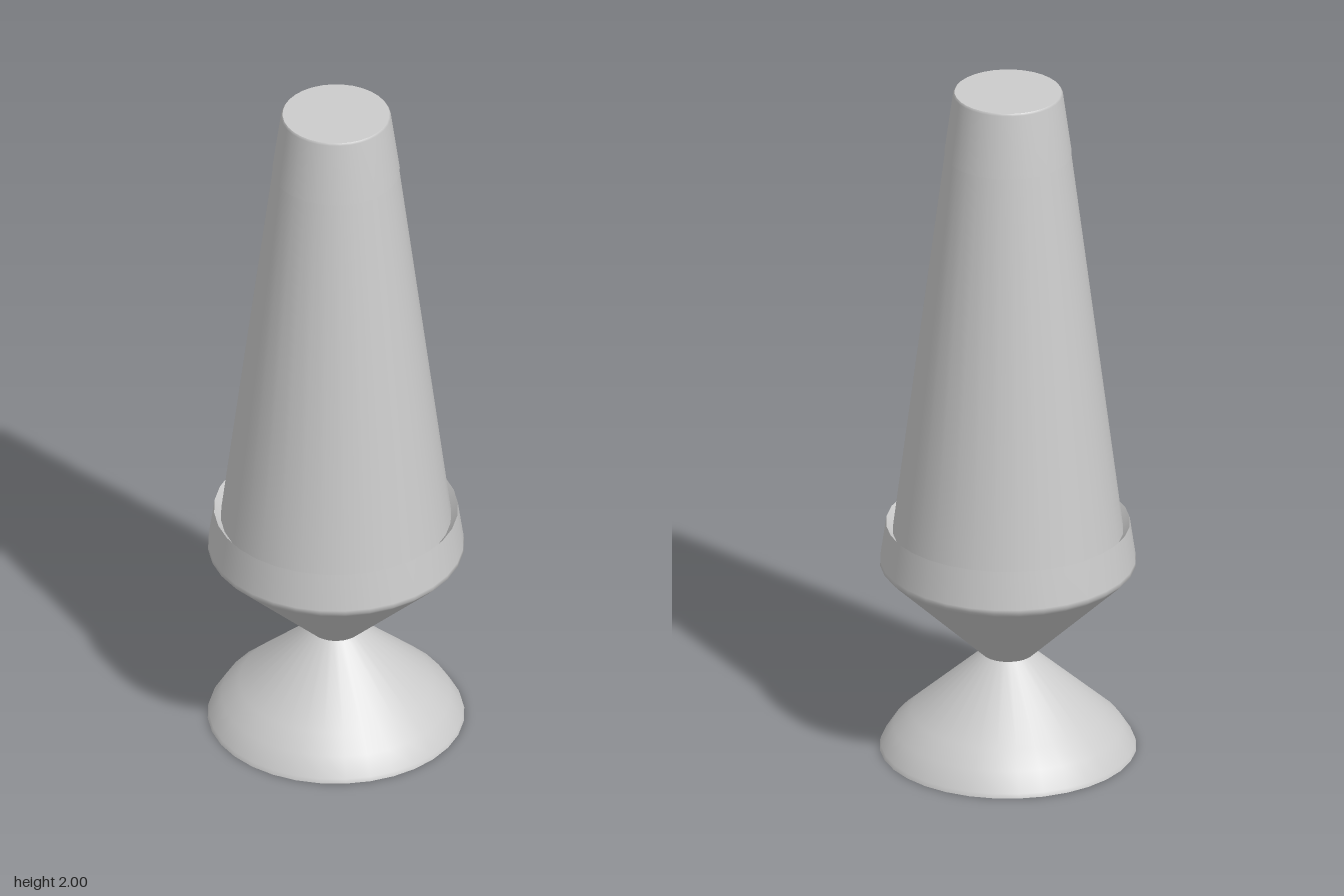
import * as THREE from 'three';

const SIDES = 32;

export function createModel() {
  const lamp = new THREE.Group();
  lamp.name = 'lavaLamp';
  const material = new THREE.MeshStandardMaterial({ color: 0xcccccc, side: THREE.DoubleSide });

  // Each strip is a smooth lathed profile; separate strips keep hard edges between them.
  function turned(name, strips) {
    const part = new THREE.Group();
    part.name = name;
    strips.forEach((points, i) => {
      const profile = points.map(([r, y]) => new THREE.Vector2(r, y));
      const mesh = new THREE.Mesh(new THREE.LatheGeometry(profile, SIDES), material);
      mesh.name = `${name}Surface${i + 1}`;
      part.add(mesh);
    });
    lamp.add(part);
  }

  // Flared foot, narrowing to the waist
  turned('foot', [
    [[0, 0], [0.358, 0]],
    [[0.358, 0], [0.354, 0.012], [0.32, 0.065], [0.27, 0.11], [0.073, 0.288]],
  ]);

  // Cup opening from the waist, with a tapered collar and a hollow rim
  turned('cup', [
    [[0.073, 0.288], [0.345, 0.55], [0.357, 0.563], [0.356, 0.575], [0.34, 0.685]],
    [[0.34, 0.685], [0.317, 0.655]],
    [[0.317, 0.655], [0, 0.655]],
  ]);

  // Tapered glass vessel
  turned('glass', [[[0.322, 0.655], [0.175, 1.82]]]);

  // Cap with a slight overhang and a softened top edge
  turned('cap', [
    [[0, 1.812], [0.178, 1.812]],
    [[0.178, 1.812], [0.153, 1.994], [0.149, 2]],
    [[0.149, 2], [0, 2]],
  ]);

  return lamp;
}
